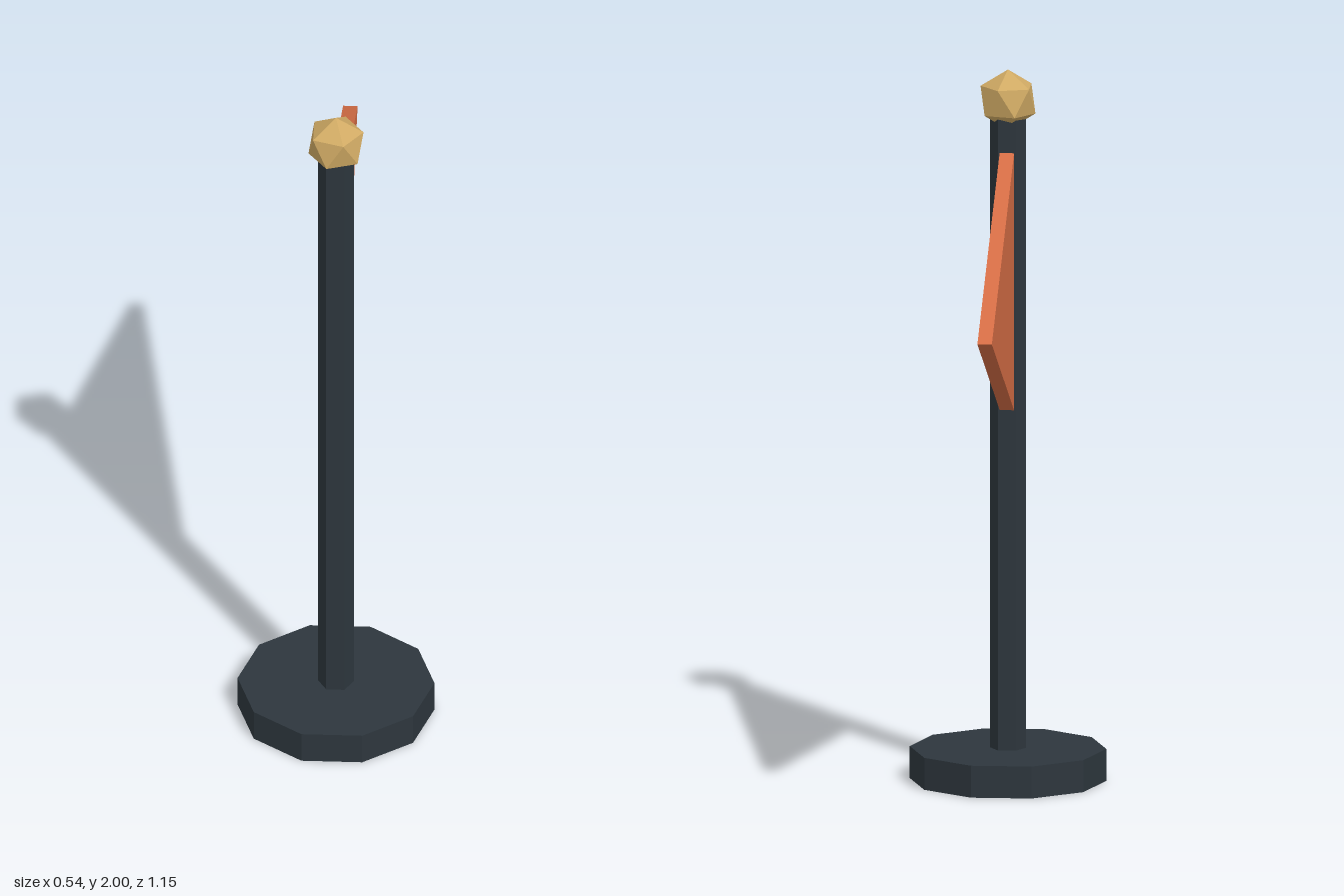
import * as THREE from 'three';

const flat = (name, color) => {
  const m = new THREE.MeshStandardMaterial({ color, flatShading: true });
  m.name = name;
  return m;
};

export function createModel() {
  const group = new THREE.Group();
  group.name = 'pennantStand';
  const slate = flat('darkSlate', 0x2d363d);
  const orange = flat('flagOrange', 0xd56d45);
  const gold = flat('finialGold', 0xd0aa64);
  const poleZ = 0.314;

  const add = (name, geometry, material, y, z) => {
    const mesh = new THREE.Mesh(geometry, material);
    mesh.name = name;
    mesh.position.set(0, y, z);
    group.add(mesh);
  };

  // Upright prism with a corner pointing along +x
  const prism = (radius, height, sides) =>
    new THREE.CylinderGeometry(radius, radius, height, sides).rotateY(Math.PI / 2);

  // Ten-sided foot and six-sided pole
  add('base', prism(0.272, 0.09, 10), slate, 0.045, poleZ);
  add('pole', prism(0.05, 1.82, 6), slate, 0.96, poleZ);

  // Faceted knob, turned so that one corner points straight up
  const knob = new THREE.IcosahedronGeometry(0.085, 0);
  knob.rotateZ(-Math.atan(2 / (1 + Math.sqrt(5))));
  add('finial', knob, gold, 1.915, poleZ);

  // Triangular pennant pointing backwards (shape x runs towards -z)
  const thickness = 0.04;
  const outline = new THREE.Shape([
    new THREE.Vector2(-0.28, 1.045),
    new THREE.Vector2(0.573, 1.406),
    new THREE.Vector2(-0.28, 1.777),
  ]);
  const pennant = new THREE.ExtrudeGeometry(outline, { depth: thickness, bevelEnabled: false });
  pennant.translate(0, 0, -thickness / 2).rotateY(Math.PI / 2);
  add('pennant', pennant, orange, 0, 0);

  return group;
}
